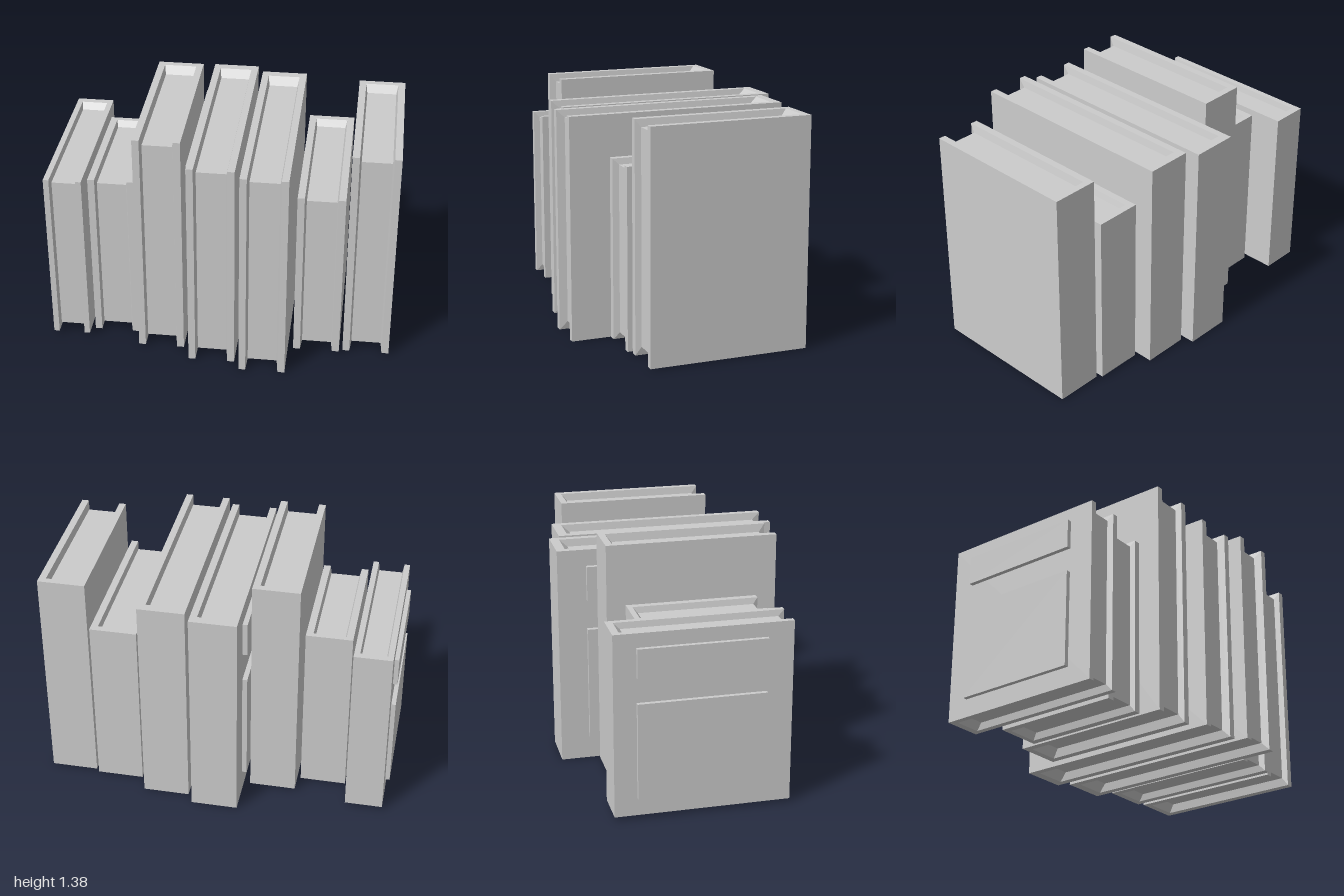
import * as THREE from 'three';

const material = new THREE.MeshStandardMaterial({ color: 0xcccccc, flatShading: true });

// One book: an eight-point outline (top, fore edge, bottom, spine) lofted across its width.
function bookGeometry(x0, x1, y0, y1, z0, z1) {
  const w = x1 - x0, h = y1 - y0, d = z1 - z0;
  const cover = 0.15 * w, slope = 0.035 * w;        // cover thickness and its inner slant
  const zr = z0 + 0.041 * d, zf = zr + 0.036 * d;   // spine rim and foot of the spine slant
  const zp = z1 - 0.036 * d;                        // fore edge of the pages
  const yt = y1 - 0.033 * h, yb = y0 + 0.037 * h;   // top and bottom of the pages

  // outlines as [z, y]
  const board = [[z0, y1], [zr, y1], [zr, y1], [z1, y1], [z1, y0], [zr, y0], [zr, y0], [z0, y0]];
  const pages = [[z0, y1], [zr, y1], [zf, yt], [zp, yt], [zp, yb], [zf, yb], [zr, y0], [z0, y0]];
  const stations = [
    [x0, board], [x0 + cover, board], [x0 + cover + slope, pages],
    [x1 - cover - slope, pages], [x1 - cover, board], [x1, board],
  ];
  const rows = stations.map(([x, outline]) => outline.map(([z, y]) => new THREE.Vector3(x, y, z)));

  const points = [];
  const triangle = (a, b, c) => {
    if (new THREE.Triangle(a, b, c).getArea() > 1e-8) points.push(a, b, c);
  };
  for (let i = 0; i < rows.length - 1; i++) {
    for (let j = 0; j < 8; j++) {
      const k = (j + 1) % 8;
      triangle(rows[i][j], rows[i][k], rows[i + 1][k]);
      triangle(rows[i][j], rows[i + 1][k], rows[i + 1][j]);
    }
  }
  // outer faces of the two covers
  const left = rows[rows.length - 1], right = rows[0];
  triangle(left[0], left[3], left[4]);
  triangle(left[0], left[4], left[7]);
  triangle(right[0], right[4], right[3]);
  triangle(right[0], right[7], right[4]);

  const geometry = new THREE.BufferGeometry().setFromPoints(points);
  geometry.computeVertexNormals();
  return geometry;
}

// Raised plate on the right-hand cover
function coverPanel(name, x0, x1, y0, y1, z0, z1) {
  const panel = new THREE.Mesh(new THREE.BoxGeometry(x1 - x0, y1 - y0, z1 - z0), material);
  panel.position.set((x0 + x1) / 2, (y0 + y1) / 2, (z0 + z1) / 2);
  panel.name = name;
  return panel;
}

export function createModel() {
  const group = new THREE.Group();
  group.name = 'bookRow';

  // x0, x1, y0, y1, z0, z1 of each book
  const books = [
    [-0.975, -0.76, 0.02, 1.06, -0.525, 0.455],
    [-0.738, -0.475, 0.01, 1.04, -0.348, 0.39],
    [-0.455, -0.19, 0.01, 1.378, -0.45, 0.51],
    [-0.15, 0.116, 0, 1.272, -0.668, 0.6],
    [0.148, 0.413, 0, 1.272, -0.605, 0.665],
    [0.445, 0.712, 0.01, 1.04, -0.517, 0.445],
    [0.732, 1, 0.006, 1.305, -0.49, 0.424],
  ];
  books.forEach((size, i) => {
    const book = new THREE.Mesh(bookGeometry(...size), material);
    book.name = `book${i + 1}`;
    group.add(book);
  });

  // plates on the end book and the middle book
  group.add(
    coverPanel('endBookLowerPanel', -1, -0.97, 0.125, 0.673, -0.4, 0.31),
    coverPanel('endBookUpperPanel', -1, -0.97, 0.815, 0.98, -0.4, 0.31),
    coverPanel('middleBookLowerPanel', -0.178, -0.145, 0.138, 0.805, -0.505, 0.412),
    coverPanel('middleBookUpperPanel', -0.178, -0.145, 0.977, 1.177, -0.505, 0.412),
  );
  return group;
}
